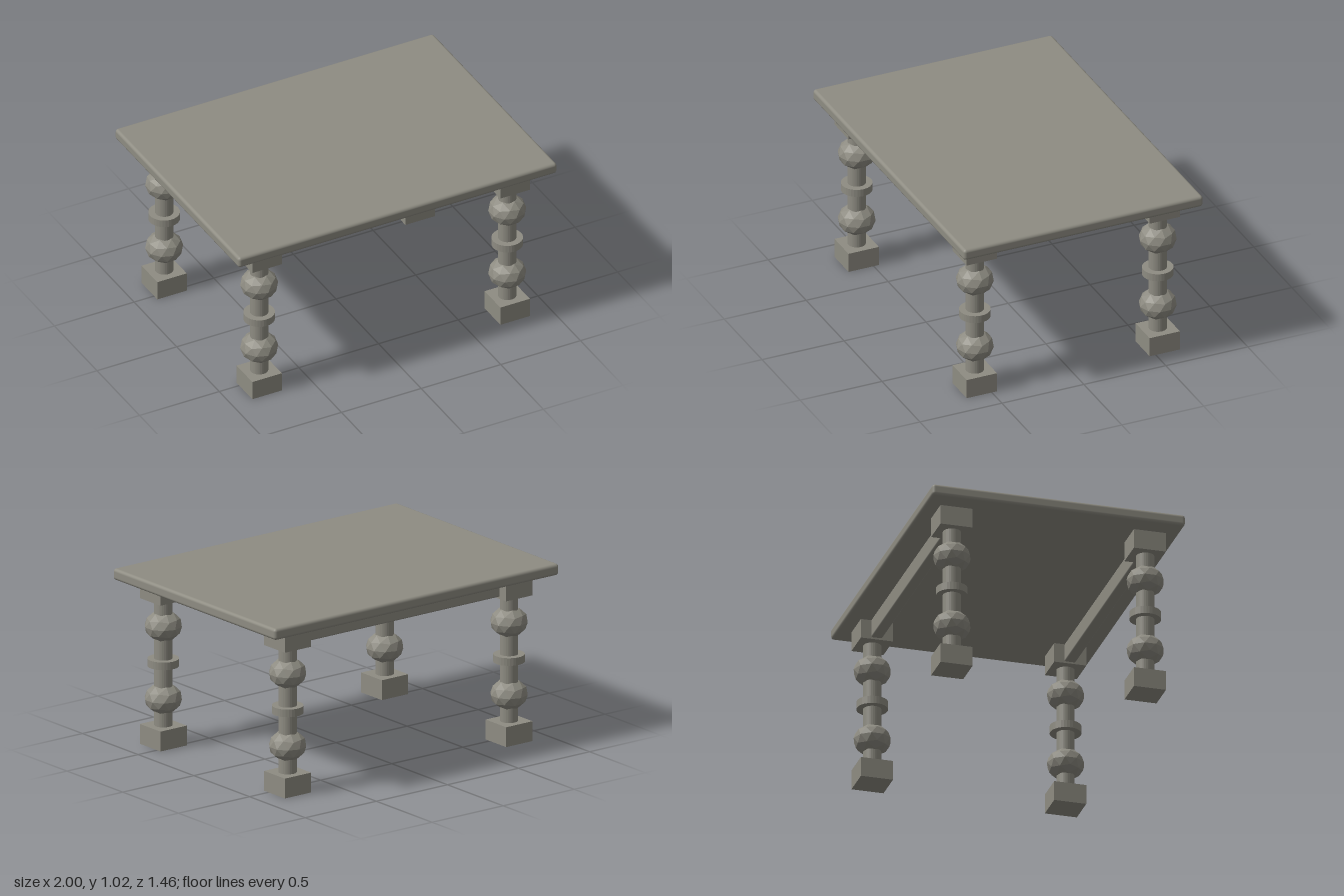
import * as THREE from 'three';
import { RoundedBoxGeometry } from 'three/addons/geometries/RoundedBoxGeometry.js';

export function createModel() {
  const table = new THREE.Group();
  table.name = 'table';
  const stone = new THREE.MeshStandardMaterial({ color: 0x8e8c82 });
  stone.name = 'warmGrey';

  const add = (parent, name, geometry, x, y, z) => {
    const mesh = new THREE.Mesh(geometry, stone);
    mesh.name = name;
    mesh.position.set(x, y, z);
    parent.add(mesh);
  };
  // Facet-shaded copy of a geometry
  const faceted = (g) => {
    const flat = g.index ? g.toNonIndexed() : g;
    flat.computeVertexNormals();
    return flat;
  };

  // Table top with softened edges
  add(table, 'tableTop', new RoundedBoxGeometry(2, 0.066, 1.46, 3, 0.018), 0, 0.991, 0);

  // Shared leg pieces
  const foot = new THREE.BoxGeometry(0.185, 0.115, 0.185);
  const cap = new THREE.BoxGeometry(0.185, 0.115, 0.185);
  const post = faceted(new THREE.CylinderGeometry(0.051, 0.051, 0.75, 32));
  const collar = faceted(new THREE.CylinderGeometry(0.088, 0.088, 0.044, 32));
  // Flattened faceted ball standing on one of its corners
  const ball = new THREE.IcosahedronGeometry(1, 1);
  ball.rotateZ(-Math.atan(2 / (1 + Math.sqrt(5))));
  ball.scale(0.107, 0.088, 0.107);
  const knob = faceted(ball);

  // Four turned legs
  const legX = [-0.782, 0.775];
  const legZ = [-0.555, 0.561];
  for (const x of legX) {
    for (const z of legZ) {
      const leg = new THREE.Group();
      leg.name = (z > 0 ? 'front' : 'back') + (x > 0 ? 'Left' : 'Right') + 'Leg';
      leg.position.set(x, 0, z);
      add(leg, 'foot', foot, 0, 0.0575, 0);
      add(leg, 'post', post, 0, 0.48, 0);
      add(leg, 'lowerKnob', knob, 0, 0.27, 0);
      add(leg, 'collar', collar, 0, 0.48, 0);
      add(leg, 'upperKnob', knob, 0, 0.69, 0);
      add(leg, 'cap', cap, 0, 0.902, 0);
      table.add(leg);
    }
  }

  // Long rails under the top, between the leg caps
  for (const z of legZ) {
    add(table, z > 0 ? 'frontRail' : 'backRail',
      new RoundedBoxGeometry(1.5, 0.11, 0.065, 2, 0.01), 0, 0.91, z);
  }
  return table;
}
